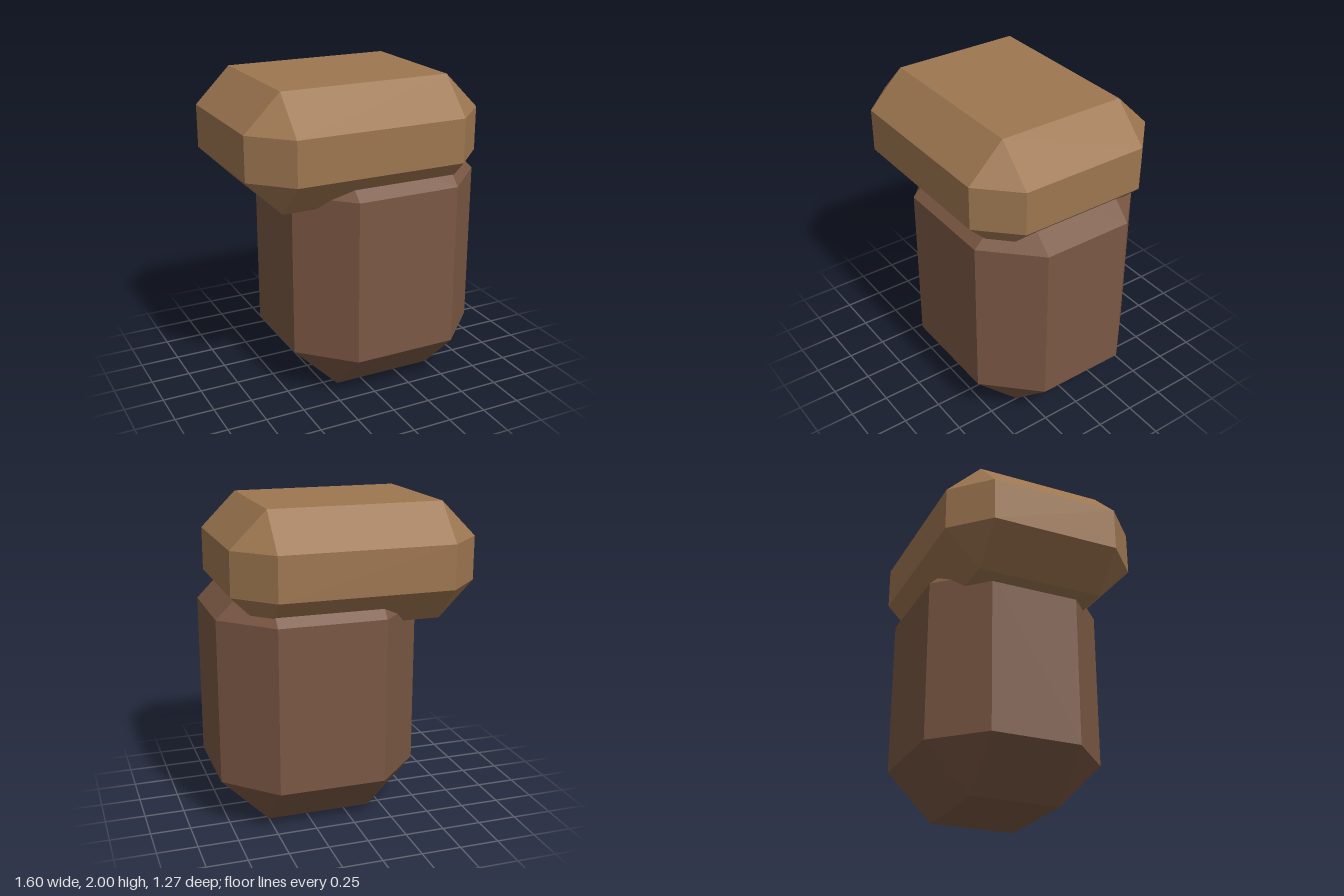
import * as THREE from 'three';
import { ConvexGeometry } from 'three/addons/geometries/ConvexGeometry.js';

// Box with every edge cut at 45 degrees: each corner becomes three points,
// one on each of the faces that meet there.
function chamferedBox(name, min, max, cut, color) {
  const centre = min.clone().add(max).multiplyScalar(0.5);
  const half = max.clone().sub(min).multiplyScalar(0.5);
  const inner = half.clone().subScalar(cut);
  const points = [];
  for (const sx of [-1, 1]) for (const sy of [-1, 1]) for (const sz of [-1, 1]) {
    const sign = new THREE.Vector3(sx, sy, sz);
    for (const axis of ['x', 'y', 'z']) {
      const p = inner.clone();
      p[axis] = half[axis];
      points.push(p.multiply(sign));
    }
  }
  const material = new THREE.MeshStandardMaterial({ color, flatShading: true });
  const mesh = new THREE.Mesh(new ConvexGeometry(points), material);
  mesh.name = name;
  mesh.position.copy(centre);
  return mesh;
}

export function createModel() {
  const group = new THREE.Group();
  group.name = 'cappedBlock';

  // Tall dark lower block, set off to the left of the cap
  group.add(chamferedBox('body',
    new THREE.Vector3(-0.47, 0, -0.58), new THREE.Vector3(0.80, 1.64, 0.60), 0.30, 0x7a5743));

  // Wide lighter cap sunk over the top of the body
  group.add(chamferedBox('cap',
    new THREE.Vector3(-0.80, 1.275, -0.635), new THREE.Vector3(0.735, 2, 0.635), 0.225, 0x9d7650));

  return group;
}
